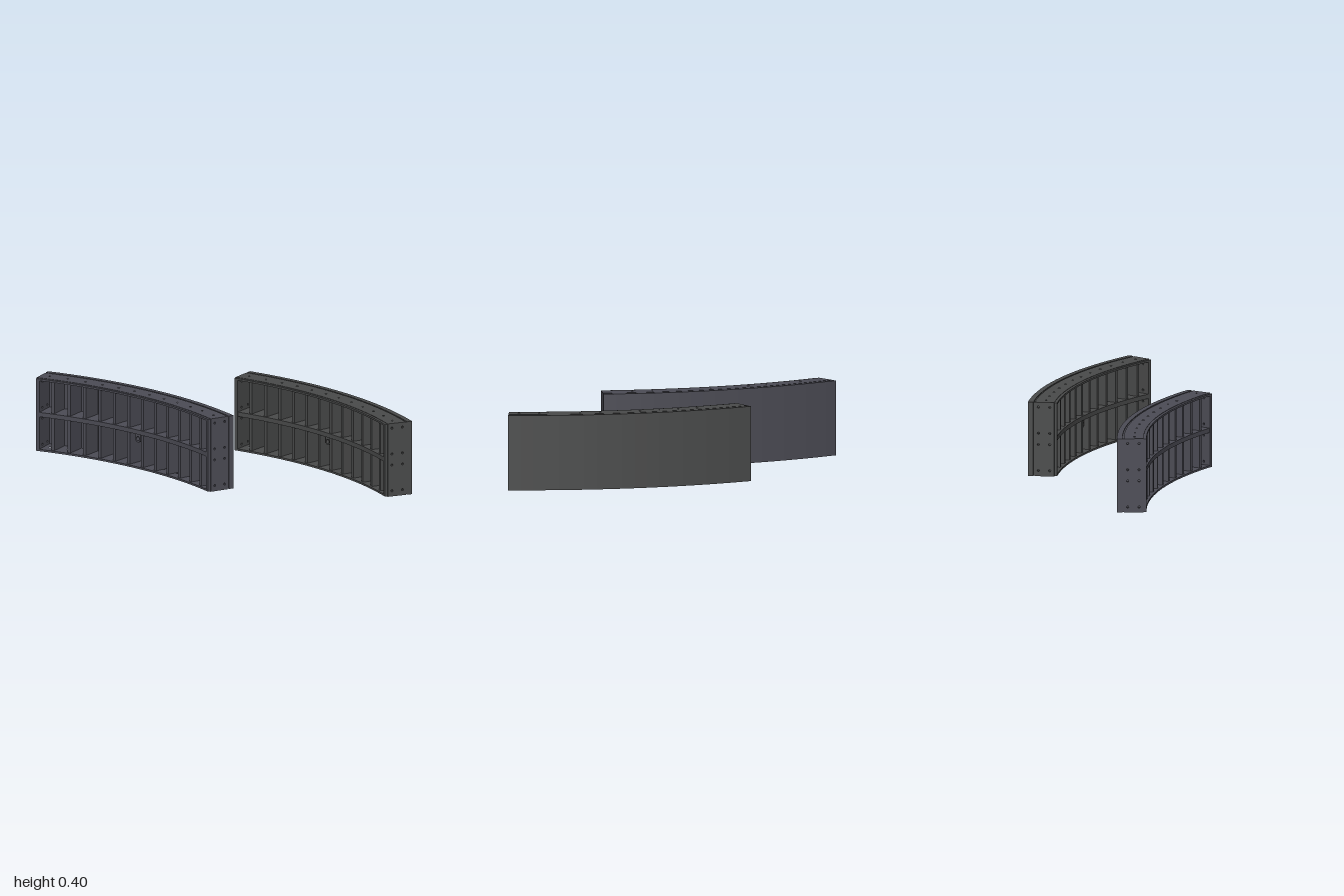
import * as THREE from 'three';

const R_IN = 2.086, R_OUT = 2.24, SKIN = 2.212, H = 0.396;
const HALF = THREE.MathUtils.degToRad(17.14); // half the arc of one segment
const CELLS = 13, BOLTS = 12, FLANGE = 0.012;

function hole(x, y, r) {
  const path = new THREE.Path();
  path.absarc(x, y, r, 0, Math.PI * 2, true);
  return path;
}

// Curved slab between two radii and two heights, with optional bolt holes
function arcSlab(r0, r1, y0, y1, half = HALF, holes = []) {
  const n = 20, pts = [];
  for (let i = 0; i <= n; i++) {
    const a = -half + (2 * half * i) / n;
    pts.push(new THREE.Vector2(r1 * Math.sin(a), r1 * Math.cos(a)));
  }
  for (let i = n; i >= 0; i--) {
    const a = -half + (2 * half * i) / n;
    pts.push(new THREE.Vector2(r0 * Math.sin(a), r0 * Math.cos(a)));
  }
  const shape = new THREE.Shape(pts);
  shape.holes.push(...holes);
  const geo = new THREE.ExtrudeGeometry(shape, { depth: y1 - y0, bevelEnabled: false, curveSegments: 5 });
  return geo.rotateX(-Math.PI / 2).translate(0, y0, 0);
}

// Upright radial plate, its thickness running from x0 to x0 + t
function radialPlate(r0, r1, y0, y1, x0, t, holes = []) {
  const shape = new THREE.Shape([
    new THREE.Vector2(r0, y0), new THREE.Vector2(r1, y0),
    new THREE.Vector2(r1, y1), new THREE.Vector2(r0, y1),
  ]);
  shape.holes.push(...holes);
  const geo = new THREE.ExtrudeGeometry(shape, { depth: t, bevelEnabled: false, curveSegments: 5 });
  return geo.rotateY(Math.PI / 2).translate(x0, 0, 0);
}

function createSegment(name, color) {
  const group = new THREE.Group();
  group.name = name;
  const material = new THREE.MeshStandardMaterial({ color, flatShading: true });
  const add = (part, geo, angle = 0) => {
    const mesh = new THREE.Mesh(geo, material);
    mesh.name = part;
    mesh.rotation.y = -angle;
    group.add(mesh);
  };

  // Outer skin
  add('outerSkin', arcSlab(SKIN, R_OUT, 0, H));

  // Top and bottom flanges with bolt holes, a seal groove and a stepped inner lip
  const boltHoles = [];
  for (let i = 0; i < BOLTS; i++) {
    const a = -HALF + (2 * HALF * (i + 0.5)) / BOLTS;
    boltHoles.push(hole(2.15 * Math.sin(a), 2.15 * Math.cos(a), 0.006));
  }
  for (const top of [false, true]) {
    const slab = (r0, r1, inset, half, holes) => top
      ? arcSlab(r0, r1, H - FLANGE, H - inset, half, holes)
      : arcSlab(r0, r1, inset, FLANGE, half, holes);
    const side = top ? 'top' : 'bottom';
    add(side + 'Flange', slab(2.101, 2.204, 0, HALF, boltHoles));
    add(side + 'Groove', slab(2.204, SKIN, 0.004, HALF - 0.0015));
    add(side + 'Lip', slab(R_IN, 2.101, 0.002, HALF - 0.001));
  }

  // End plates with two columns of bolt holes
  const endHoles = [];
  for (const r of [2.125, 2.185])
    for (const y of [0.03, 0.17, 0.23, 0.37]) endHoles.push(hole(r, y, 0.006));
  const t = 0.022;
  for (const s of [-1, 1]) {
    const plate = (r0, r1, inset, holes) =>
      radialPlate(r0, r1, 0.002, H - 0.002, s < 0 ? inset : -t, t - inset, holes);
    add('endPlate', plate(2.101, 2.204, 0, endHoles), s * HALF);
    add('endGroove', plate(2.204, SKIN, 0.004), s * HALF);
    add('endLip', plate(R_IN, 2.101, 0.002), s * HALF);
  }

  // Middle rib along the arc
  add('middleRib', arcSlab(R_IN + 0.002, SKIN, 0.188, 0.212, HALF - 0.005));

  // Upright ribs between the cells
  for (let i = 1; i < CELLS; i++) {
    const a = -HALF + (2 * HALF * i) / CELLS;
    add('uprightRib', radialPlate(2.098, SKIN + 0.01, 0.006, H - 0.006, -0.009, 0.018), a);
  }

  // Socket hanging under the middle rib in the central cell
  const socket = new THREE.Shape();
  socket.moveTo(0.018, 0.19);
  socket.lineTo(-0.018, 0.19);
  socket.lineTo(-0.018, 0.152);
  socket.absarc(0, 0.152, 0.018, Math.PI, Math.PI * 2, false);
  socket.holes.push(hole(0, 0.155, 0.011));
  const socketGeo = new THREE.ExtrudeGeometry(socket, { depth: 0.1, bevelEnabled: false, curveSegments: 8 });
  add('socket', socketGeo.translate(0, 0, -SKIN - 0.005));

  return group;
}

export function createModel() {
  const model = new THREE.Group();
  model.name = 'curvedSegments';

  const back = createSegment('backSegment', 0x4a4b4b);
  back.position.set(0.34, 0, 1.71);

  const front = createSegment('frontSegment', 0x4c4c55);
  front.position.set(-0.071, 0, 2.418);
  front.rotation.y = THREE.MathUtils.degToRad(7.42);

  model.add(back, front);
  return model;
}
